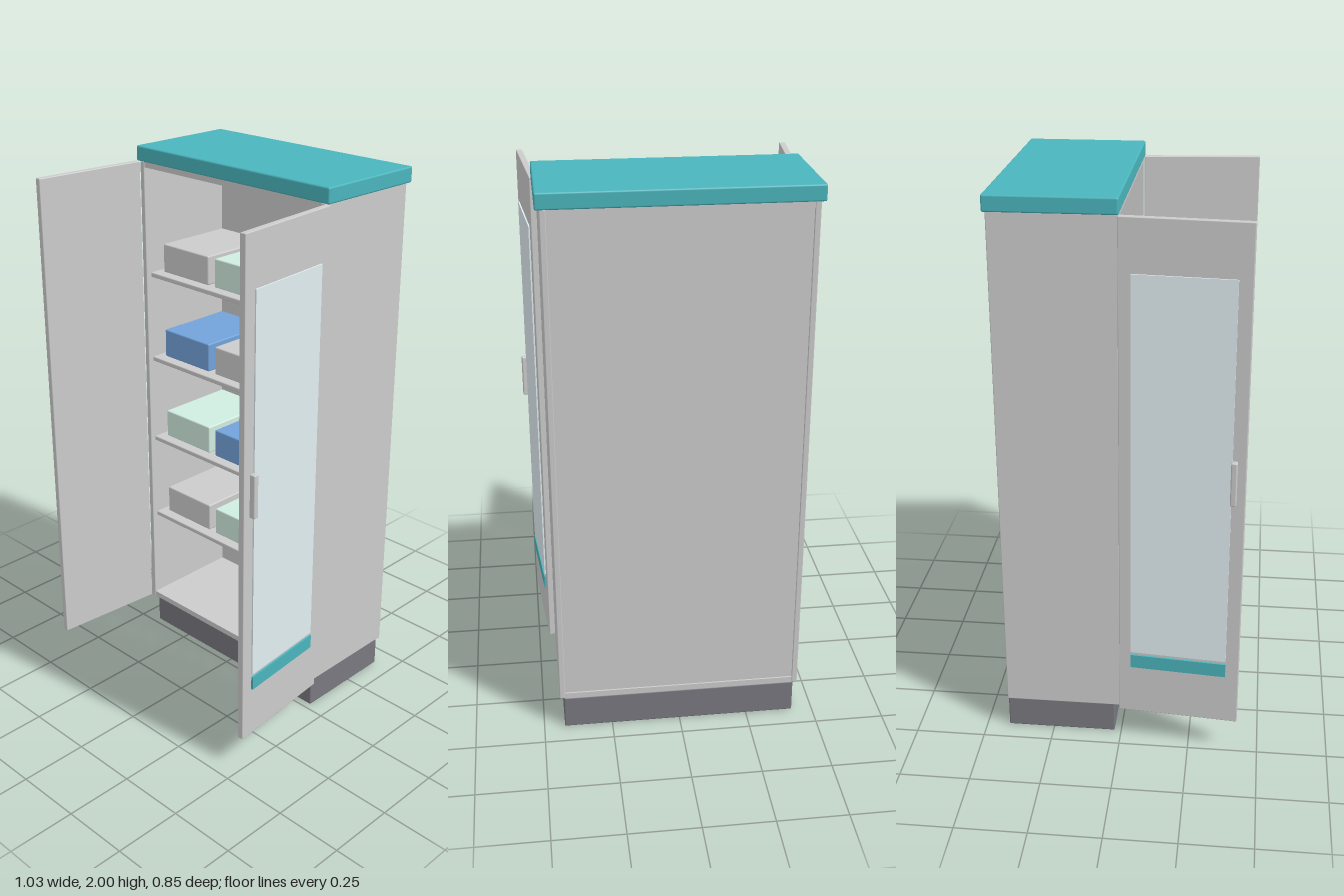
import * as THREE from 'three';
import { RoundedBoxGeometry } from 'three/addons/geometries/RoundedBoxGeometry.js';

const mat = (color) => new THREE.MeshStandardMaterial({ color });
const GREY = mat(0xcccccc);
const TEAL = mat(0x4ab5bc);
const DARK = mat(0x78787f);
const BLUE = mat(0x72a3da);
const MINT = mat(0xd0ecdf);
const PANE = mat(0xe2eef2);

// Box given by its min/max on each axis, with optional rounded edges
function block(parent, name, material, [x0, x1], [y0, y1], [z0, z1], radius = 0) {
  const size = [x1 - x0, y1 - y0, z1 - z0];
  const geometry = radius
    ? new RoundedBoxGeometry(...size, 2, radius)
    : new THREE.BoxGeometry(...size);
  const mesh = new THREE.Mesh(geometry, material);
  mesh.name = name;
  mesh.position.set((x0 + x1) / 2, (y0 + y1) / 2, (z0 + z1) / 2);
  parent.add(mesh);
  return mesh;
}

export function createModel() {
  const cabinet = new THREE.Group();
  cabinet.name = 'cabinet';

  // Plinth and lid
  block(cabinet, 'plinth', DARK, [-0.425, 0.425], [0, 0.125], [-0.418, -0.024], 0.005);
  block(cabinet, 'lid', TEAL, [-0.455, 0.455], [1.945, 2], [-0.427, 0.002], 0.006);

  // Carcass
  for (const s of [-1, 1]) {
    const xs = [s * 0.42, s * 0.44].sort((a, b) => a - b);
    block(cabinet, s > 0 ? 'leftSide' : 'rightSide', GREY, xs, [0.125, 1.945], [-0.418, -0.002], 0.003);
  }
  block(cabinet, 'floorPanel', GREY, [-0.42, 0.42], [0.125, 0.147], [-0.418, -0.004]);
  block(cabinet, 'ceilingPanel', GREY, [-0.42, 0.42], [1.925, 1.945], [-0.418, -0.004]);
  block(cabinet, 'backPanel', GREY, [-0.42, 0.42], [0.147, 1.925], [-0.412, -0.398]);

  // Shelves, each with three storage boxes
  const rows = [
    [GREY, MINT, BLUE],
    [MINT, BLUE, GREY],
    [BLUE, GREY, MINT],
    [GREY, MINT, BLUE],
  ];
  rows.forEach((colors, i) => {
    const top = 0.522 + i * 0.336;
    block(cabinet, 'shelf', GREY, [-0.418, 0.418], [top - 0.018, top], [-0.398, -0.02], 0.004);
    colors.forEach((material, j) => {
      const x = (j - 1) * 0.268;
      block(cabinet, 'storageBox', material, [x - 0.118, x + 0.118], [top, top + 0.108], [-0.365, -0.057], 0.005);
    });
  });

  // Open doors: local z runs from hinge to free edge, outer face away from the cabinet
  for (const s of [-1, 1]) {
    const door = new THREE.Group();
    door.name = s > 0 ? 'leftDoor' : 'rightDoor';
    door.position.set(s * 0.438, 0, 0);
    door.rotation.y = s * THREE.MathUtils.degToRad(5);
    const out = (a, b) => (s > 0 ? [a, b] : [-b, -a]);
    block(door, 'doorLeaf', GREY, out(0, 0.023), [0.125, 1.945], [0, 0.427], 0.003);
    block(door, 'windowPane', PANE, out(0.02, 0.028), [0.377, 1.765], [0.043, 0.381]);
    block(door, 'accentStrip', TEAL, out(0.02, 0.03), [0.315, 0.366], [0.043, 0.381]);
    block(door, 'handle', GREY, out(0.021, 0.044), [0.995, 1.153], [0.378, 0.399], 0.005);
    cabinet.add(door);
  }

  return cabinet;
}
